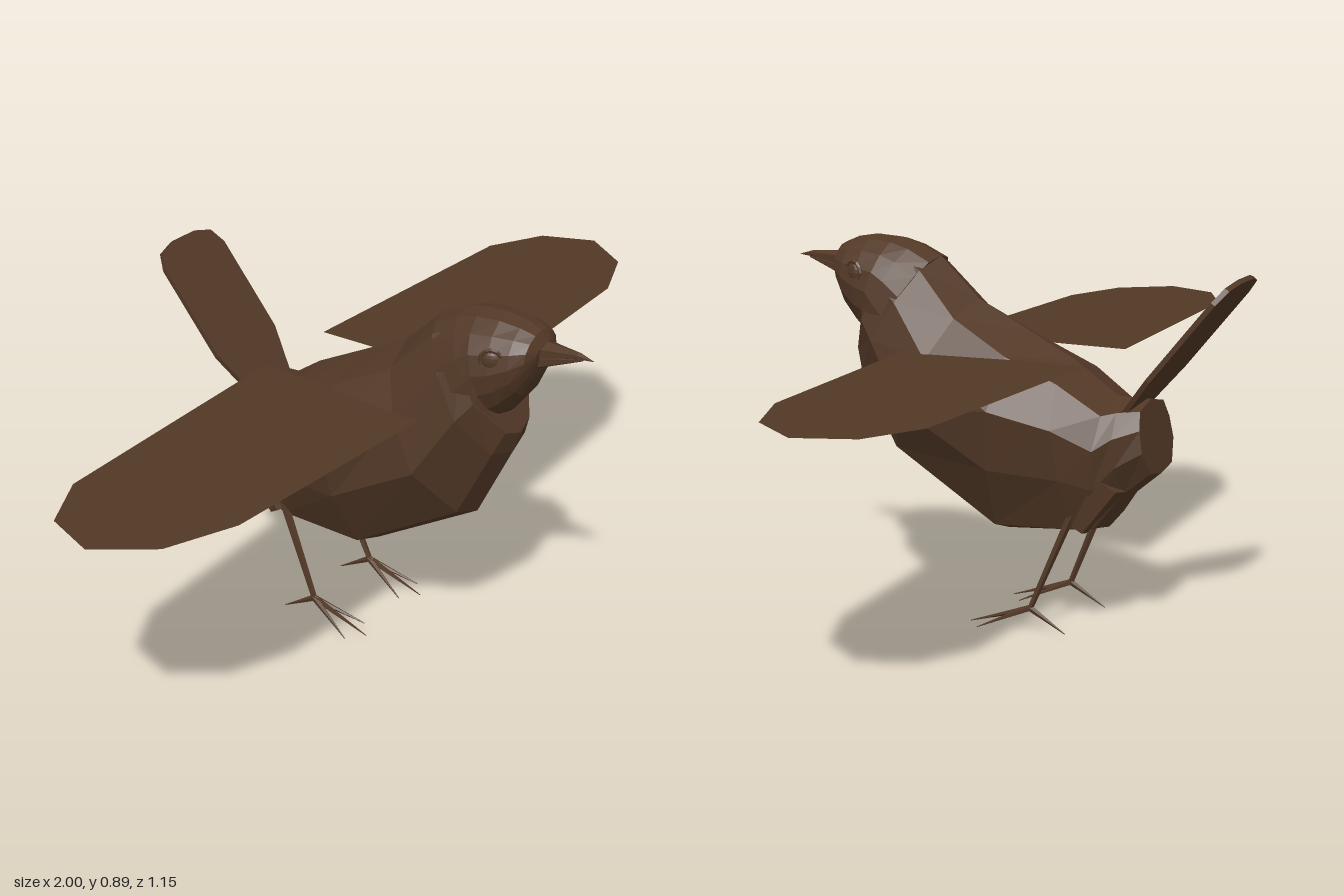
import * as THREE from 'three';

const brown = new THREE.MeshStandardMaterial({ color: 0x523826, flatShading: true, side: THREE.DoubleSide });
brown.name = 'brown plumage';

function add(parent, name, geometry) {
  const mesh = new THREE.Mesh(geometry, brown);
  mesh.name = name;
  parent.add(mesh);
  return mesh;
}

// Skin over slanted mirrored rings. Each ring is [topZ, topY, bottomZ, bottomY, widths];
// fractions say how far down from top to bottom each half-width sits.
function loft(rings, fractions) {
  const pos = [], index = [];
  const n = fractions.length, sides = 2 * n + 2;
  for (const [tz, ty, bz, by, widths] of rings) {
    const point = (x, f) => pos.push(x, ty + (by - ty) * f, tz + (bz - tz) * f);
    point(0, 0);
    for (let i = 0; i < n; i++) point(widths[i], fractions[i]);
    point(0, 1);
    for (let i = n - 1; i >= 0; i--) point(-widths[i], fractions[i]);
  }
  for (let r = 0; r < rings.length - 1; r++) {
    for (let i = 0; i < sides; i++) {
      const a = r * sides + i, b = r * sides + (i + 1) % sides;
      const c = a + sides, d = b + sides;
      index.push(a, c, b, b, c, d);
    }
  }
  const last = (rings.length - 1) * sides;
  for (let i = 1; i < sides - 1; i++) {
    index.push(0, i, i + 1, last, last + i + 1, last + i);
  }
  const g = new THREE.BufferGeometry();
  g.setAttribute('position', new THREE.Float32BufferAttribute(pos, 3));
  g.setIndex(index);
  g.computeVertexNormals();
  return g;
}

// Loft with elliptical rings, each given by one half-width
function roundLoft(rings, steps) {
  const angles = Array.from({ length: steps - 1 }, (_, i) => ((i + 1) / steps) * Math.PI);
  return loft(
    rings.map(([tz, ty, bz, by, w]) => [tz, ty, bz, by, angles.map((a) => w * Math.sin(a))]),
    angles.map((a) => (1 - Math.cos(a)) / 2),
  );
}

// Tapered rod between two points
function rod(from, to, r0, r1) {
  const a = new THREE.Vector3(...from), b = new THREE.Vector3(...to);
  const dir = b.clone().sub(a);
  const g = new THREE.CylinderGeometry(r1, r0, dir.length(), 5);
  g.applyQuaternion(new THREE.Quaternion().setFromUnitVectors(new THREE.Vector3(0, 1, 0), dir.normalize()));
  const m = a.add(b).multiplyScalar(0.5);
  return g.translate(m.x, m.y, m.z);
}

const outline = (pts) => new THREE.Shape(pts.map(([x, y]) => new THREE.Vector2(x, y)));

export function createModel() {
  const bird = new THREE.Group();
  bird.name = 'bird';

  // Head: finer rings from face to nape
  add(bird, 'head', roundLoft([
    [0.46, 0.845, 0.45, 0.785, 0.04],
    [0.445, 0.868, 0.44, 0.755, 0.068],
    [0.41, 0.883, 0.42, 0.71, 0.09],
    [0.36, 0.892, 0.385, 0.665, 0.105],
    [0.30, 0.889, 0.37, 0.65, 0.114],
    [0.25, 0.877, 0.385, 0.62, 0.118],
    [0.19, 0.85, 0.37, 0.57, 0.124],
  ], 8));

  // Body: flat back, sharp flanks and a keeled belly in broad facets
  add(bird, 'body', loft([
    [0.25, 0.872, 0.40, 0.605, [0.06, 0.105, 0.115, 0.05]],
    [0.19, 0.85, 0.38, 0.55, [0.075, 0.12, 0.135, 0.07]],
    [0.09, 0.755, 0.29, 0.37, [0.095, 0.152, 0.165, 0.07]],
    [-0.04, 0.69, 0.01, 0.207, [0.118, 0.192, 0.165, 0.085]],
    [-0.16, 0.63, -0.20, 0.228, [0.115, 0.172, 0.15, 0.10]],
    [-0.27, 0.555, -0.25, 0.24, [0.10, 0.14, 0.125, 0.085]],
    [-0.30, 0.555, -0.31, 0.325, [0.085, 0.118, 0.11, 0.06]],
    [-0.35, 0.555, -0.38, 0.385, [0.07, 0.09, 0.095, 0.065]],
  ], [0.09, 0.33, 0.63, 0.94]));

  // Beak: two halves meeting at the tip
  add(bird, 'upperBeak', roundLoft([
    [0.44, 0.847, 0.44, 0.80, 0.036],
    [0.50, 0.842, 0.50, 0.816, 0.02],
    [0.54, 0.84, 0.54, 0.824, 0.01],
    [0.577, 0.829, 0.577, 0.828, 0.001],
  ], 3));
  add(bird, 'lowerBeak', roundLoft([
    [0.43, 0.815, 0.43, 0.772, 0.032],
    [0.49, 0.822, 0.49, 0.797, 0.017],
    [0.55, 0.826, 0.55, 0.822, 0.002],
  ], 3));

  // Tail: thin rounded paddle, tilted up and back
  const tailShape = outline([[-0.07, 0], [0.07, 0], [0.11, 0.13], [0.11, 0.37],
    [0.09, 0.41], [0.04, 0.425], [-0.04, 0.425], [-0.09, 0.41], [-0.11, 0.37], [-0.11, 0.13]]);
  const tail = add(bird, 'tail', new THREE.ExtrudeGeometry(tailShape, { depth: 0.012, bevelEnabled: false }));
  tail.position.set(0, 0.515, -0.308);
  tail.rotation.x = -0.685;

  const wingPts = [[0.115, -0.236], [0.48, -0.22], [0.81, -0.205], [0.95, -0.13], [1, 0],
    [0.91, 0.125], [0.745, 0.19], [0.48, 0.203], [0.115, 0.222]];

  for (const [s, side] of [[1, 'left'], [-1, 'right']]) {
    // Wing: flat horizontal blade, facing up
    const wing = new THREE.ShapeGeometry(outline(wingPts.map(([x, z]) => [s * x, -z])));
    add(bird, side + 'Wing', wing.rotateX(-Math.PI / 2).translate(0, 0.641, 0));

    // Eye with a lid around it
    const eye = add(bird, side + 'Eye', new THREE.SphereGeometry(0.022, 10, 8));
    eye.scale.x = 0.4;
    eye.position.set(s * 0.093, 0.81, 0.375);
    eye.rotation.y = -s * 0.35;
    const lid = add(bird, side + 'Eyelid', new THREE.TorusGeometry(0.025, 0.005, 5, 12));
    lid.position.set(s * 0.093, 0.811, 0.375);
    lid.rotation.y = s * (Math.PI / 2 - 0.35);

    // Thigh, leg and toes
    add(bird, side + 'Thigh', rod([s * 0.08, 0.37, -0.28], [s * 0.098, 0.255, -0.215], 0.05, 0.022));
    const ankle = [s * 0.115, 0.053, -0.10];
    add(bird, side + 'Leg', rod([s * 0.102, 0.32, -0.212], ankle, 0.011, 0.007));
    const toes = [[0.115, 0.055], [0.155, 0.02], [0.072, 0.02], [0.115, -0.19]];
    for (const [x, z] of toes) {
      add(bird, side + 'Toe', rod(ankle, [s * x, 0.001, z], 0.008, 0.001));
    }
  }
  return bird;
}
